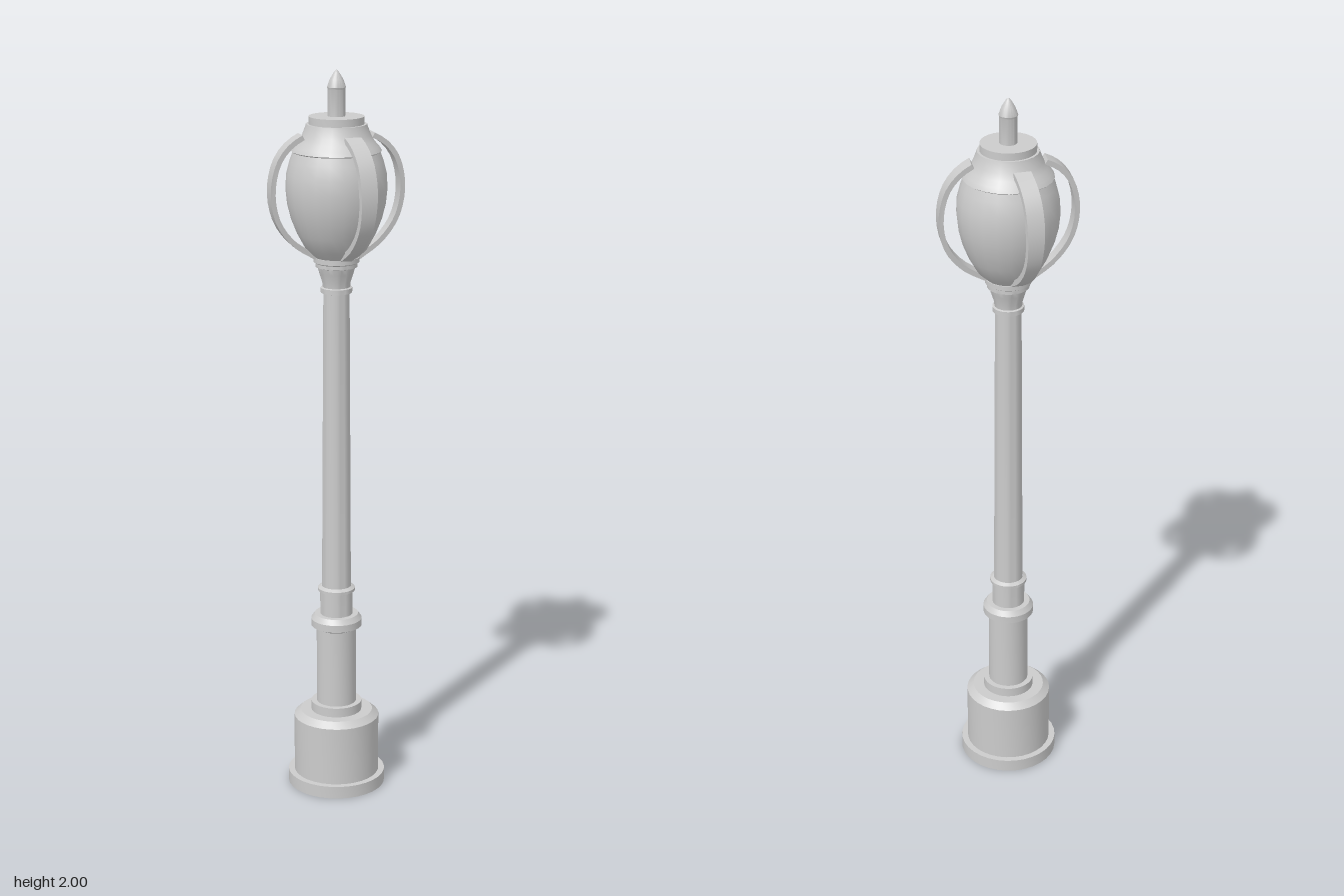
import * as THREE from 'three';
import { toCreasedNormals } from 'three/addons/utils/BufferGeometryUtils.js';

const material = new THREE.MeshStandardMaterial({ color: 0xcccccc });

// Turned part from [radius, height] pairs, listed bottom to top
function turned(name, profile, sides = 32) {
  const pts = profile.map(([r, y]) => new THREE.Vector2(r, y));
  const mesh = new THREE.Mesh(toCreasedNormals(new THREE.LatheGeometry(pts, sides), 0.5), material);
  mesh.name = name;
  return mesh;
}

// Curved flat band standing off the globe, narrower toward the bottom
function strapGeometry() {
  const centre = new THREE.CatmullRomCurve3([
    [0.09, 1.83], [0.125, 1.81], [0.16, 1.767], [0.177, 1.69],
    [0.161, 1.61], [0.115, 1.55], [0.05, 1.508],
  ].map(([x, y]) => new THREE.Vector3(x, y, 0)));
  const n = 18, half = 0.007, outer = [], inner = [];
  for (let i = 0; i <= n; i++) {
    const p = centre.getPointAt(i / n), t = centre.getTangentAt(i / n);
    outer.push(new THREE.Vector2(p.x - t.y * half, p.y + t.x * half));
    inner.unshift(new THREE.Vector2(p.x + t.y * half, p.y - t.x * half));
  }
  const geo = new THREE.ExtrudeGeometry(new THREE.Shape([...outer, ...inner]), { depth: 1, bevelEnabled: false });
  geo.translate(0, 0, -0.5);
  const pos = geo.attributes.position;
  for (let i = 0; i < pos.count; i++) {
    const k = THREE.MathUtils.clamp((pos.getY(i) - 1.51) / 0.2, 0, 1);
    pos.setZ(i, pos.getZ(i) * (0.032 + 0.013 * k));
  }
  geo.computeVertexNormals();
  return toCreasedNormals(geo, 0.6);
}

export function createModel() {
  const model = new THREE.Group();
  model.name = 'streetLamp';

  model.add(
    turned('base', [[0, 0], [0.135, 0], [0.135, 0.035], [0.118, 0.035], [0.118, 0.2],
      [0.1, 0.216], [0.07, 0.216], [0.07, 0.242], [0, 0.242]]),
    turned('pedestal', [[0.055, 0.235], [0.055, 0.46]]),
    turned('pedestalRing', [[0.05, 0.458], [0.07, 0.468], [0.07, 0.488], [0.06, 0.502], [0, 0.502]]),
    turned('lowerSleeve', [[0.045, 0.5], [0.045, 0.568], [0.051, 0.57], [0.051, 0.578], [0.041, 0.584]]),
    turned('shaft', [[0.04, 0.57], [0.035, 1.42]]),
    turned('neckRing', [[0.034, 1.41], [0.042, 1.412], [0.042, 1.425], [0.034, 1.428]]),
    turned('neck', [[0.036, 1.42], [0.038, 1.44], [0.046, 1.465], [0.05, 1.48],
      [0.056, 1.482], [0.056, 1.492], [0.061, 1.495], [0.061, 1.508], [0, 1.508]]),
    turned('globe', [[0.055, 1.505], [0.082, 1.53], [0.104, 1.57], [0.12, 1.61], [0.13, 1.65],
      [0.134, 1.69], [0.132, 1.73], [0.123, 1.765], [0.112, 1.795]], 22),
    turned('cap', [[0.112, 1.785], [0.119, 1.79], [0.112, 1.802], [0.1, 1.815], [0.09, 1.832],
      [0.082, 1.853], [0.08, 1.86], [0, 1.86]], 22),
    turned('topDisc', [[0, 1.858], [0.073, 1.858], [0.073, 1.88], [0, 1.88]]),
    turned('finial', [[0.023, 1.878], [0.023, 1.95], [0.025, 1.955], [0.018, 1.975], [0.007, 1.993], [0, 2]], 20),
  );

  // Four straps, set slightly askew in opposite pairs
  const base = strapGeometry();
  const Y = new THREE.Vector3(0, 1, 0);
  const frames = [
    ['sideStrap', [1, 0, 0], [-0.18, 0, 1], [0.002, 0, 0.018]],
    ['frontBackStrap', [0.053, 0, 1], [-1, 0, -0.08], [-0.002, 0, 0]],
  ];
  for (const [name, out, across, offset] of frames) {
    const m = new THREE.Matrix4()
      .makeBasis(new THREE.Vector3(...out), Y, new THREE.Vector3(...across))
      .setPosition(...offset);
    const geo = base.clone().applyMatrix4(m);
    for (let i = 0; i < 2; i++) {
      const strap = new THREE.Mesh(geo, material);
      strap.name = name + (i + 1);
      strap.rotation.y = i * Math.PI;
      model.add(strap);
    }
  }
  return model;
}
